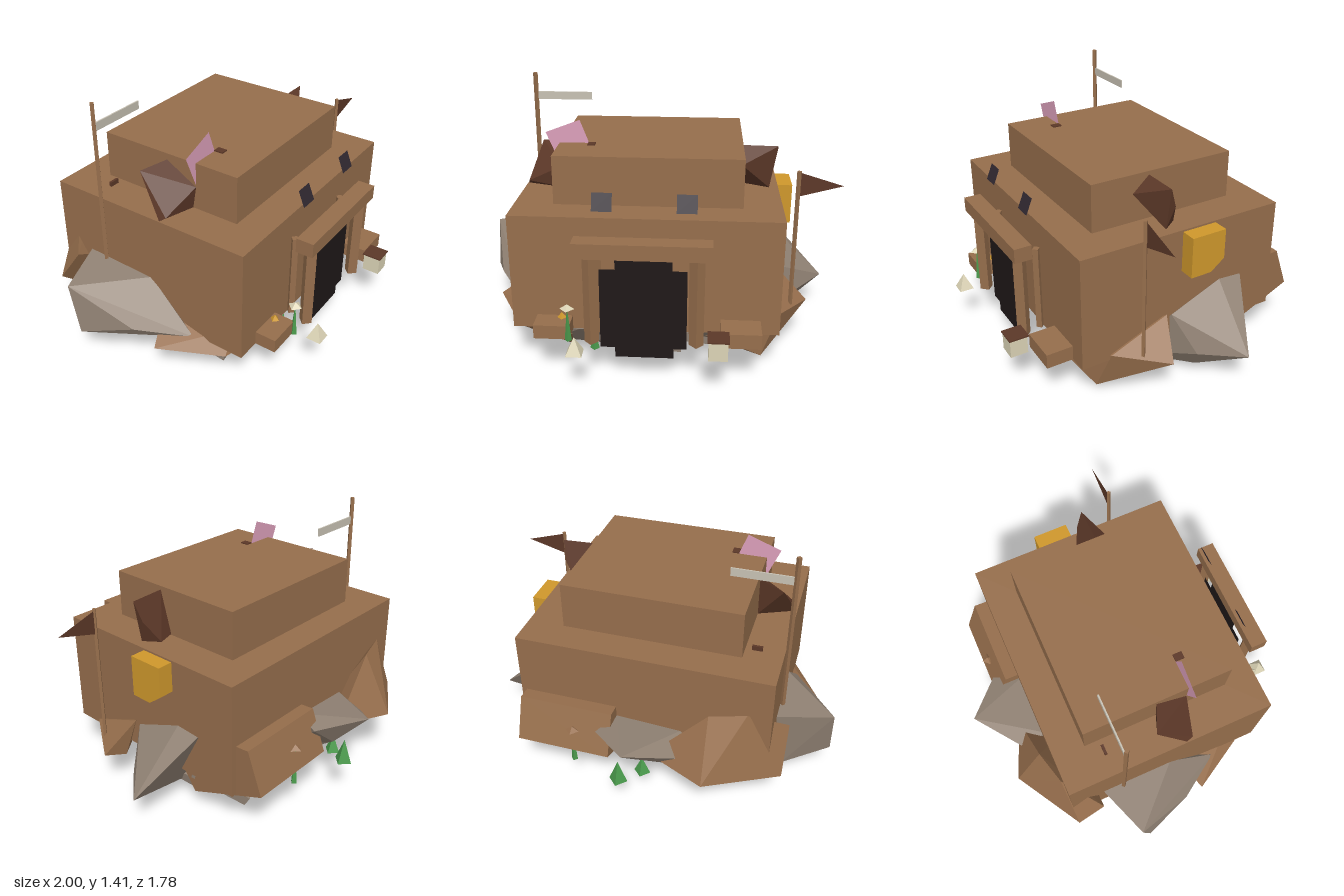
import * as THREE from 'three';
import { ConvexGeometry } from 'three/addons/geometries/ConvexGeometry.js';

export function createModel() {
  const root = new THREE.Group();
  root.name = 'rockyHut';
  const mat = (name, color, double = false) => {
    const m = new THREE.MeshStandardMaterial({ color, flatShading: true });
    m.name = name;
    if (double) m.side = THREE.DoubleSide;
    return m;
  };
  const brown = mat('earthBrown', 0x966e4c);
  const dark = mat('darkBrown', 0x5c3828, true);
  const grey = mat('stoneGrey', 0x928375);
  const black = mat('doorBlack', 0x1f1818, true);
  const glass = mat('windowDark', 0x302830, true);
  const gold = mat('gold', 0xcf982c);
  const pink = mat('pink', 0xdca0bb, true);
  const cream = mat('cream', 0xdcd4b6, true);
  const ash = mat('ashCloth', 0xc8c2b4, true);
  const green = mat('leafGreen', 0x4a9a4c);

  const add = (name, geo, m) => {
    const mesh = new THREE.Mesh(geo, m);
    mesh.name = name;
    root.add(mesh);
    return mesh;
  };
  // Box from its limits on each axis
  const box = (name, m, x0, x1, y0, y1, z0, z1) => {
    const b = add(name, new THREE.BoxGeometry(x1 - x0, y1 - y0, z1 - z0), m);
    b.position.set((x0 + x1) / 2, (y0 + y1) / 2, (z0 + z1) / 2);
    return b;
  };
  // Four-sided post standing cornerwise
  const post = (name, r, x, z, y0, y1) => {
    const p = add(name, new THREE.CylinderGeometry(r, r, y1 - y0, 4), brown);
    p.position.set(x, (y0 + y1) / 2, z);
  };
  // Angular rock around a few corners
  const hull = (name, m, pts) =>
    add(name, new ConvexGeometry(pts.map(p => new THREE.Vector3(...p))), m);
  // Flat plate in the xy plane
  const plate = (name, m, pts, z) => {
    const s = new THREE.Shape(pts.map(p => new THREE.Vector2(...p)));
    const p = add(name, new THREE.ShapeGeometry(s), m);
    p.position.z = z;
  };
  const cone = (name, m, r, h, x, y, z) => {
    const c = add(name, new THREE.ConeGeometry(r, h, 4), m);
    c.position.set(x, y + h / 2, z);
    return c;
  };

  // Two-tier body
  box('lowerBody', brown, -0.705, 0.68, 0.25, 0.875, -0.56, 0.62);
  box('upperBody', brown, -0.50, 0.478, 0.87, 1.135, -0.385, 0.445);

  // Doorway: stepped dark opening, posts and lintel
  plate('doorOpening', black, [
    [-0.16, 0.145], [0.14, 0.145], [0.14, 0.2], [0.205, 0.2], [0.205, 0.64], [0.13, 0.64],
    [0.13, 0.715], [-0.155, 0.715], [-0.155, 0.64], [-0.235, 0.64], [-0.235, 0.2], [-0.16, 0.2],
  ], 0.71);
  box('lintel', brown, -0.355, 0.325, 0.73, 0.81, 0.70, 0.795);
  for (const x of [-0.274, 0.254]) {
    post('doorPost', 0.037, x, 0.742, 0.25, 0.76);
    post('innerDoorPost', 0.022, x + Math.sign(x) * -0.02, 0.638, 0.25, 0.73);
  }
  box('doorStep', grey, -0.18, 0.17, 0.04, 0.145, 0.25, 0.48);

  // Leaning window panes
  for (const x of [-0.217, 0.197]) {
    const w = add('window', new THREE.PlaneGeometry(0.1, 0.092), glass);
    w.position.set(x, 0.977, 0.667);
    w.rotation.x = -0.39;
  }

  // Shoulder spikes beside the upper tier
  hull('leftSpike', dark, [
    [0.475, 1.115, 0.115], [0.67, 1.11, 0.11], [0.65, 1.0, 0.07], [0.57, 0.875, 0.025],
    [0.63, 0.875, 0.11], [0.475, 0.88, 0.05], [0.475, 1.03, 0.21]]);
  hull('rightSpike', dark, [
    [-0.64, 1.08, -0.04], [-0.50, 1.10, 0.02], [-0.50, 1.0, 0.2], [-0.69, 0.9, 0.155],
    [-0.70, 0.875, 0.12], [-0.5, 0.875, 0.03], [-0.5, 0.875, 0.18]]);
  plate('pinkPanel', pink, [[-0.575, 1.19], [-0.50, 1.01], [-0.34, 1.13], [-0.39, 1.26]], 0.2);

  // Small twigs on the roofs
  box('roofTwig', dark, -0.59, -0.535, 0.873, 0.9, -0.307, -0.293);
  box('roofTwig', dark, -0.345, -0.305, 1.133, 1.141, 0.2, 0.25);

  // Gold side panel
  hull('goldPanel', gold, [0.67, 0.765].flatMap(x => [
    [x, 0.865, 0.04], [x, 0.865, -0.16], [x, 0.70, -0.16], [x, 0.64, -0.08], [x, 0.64, 0.04]]));

  // Flag poles
  post('rightPole', 0.0135, -0.717, -0.25, 0.3, 1.42);
  box('rightBanner', ash, -0.705, -0.39, 1.265, 1.31, -0.255, -0.247);
  post('leftPole', 0.0115, 0.762, 0.317, 0.25, 1.04);
  plate('leftPennant', dark, [[0.77, 1.03], [0.77, 0.90], [0.995, 0.962]], 0.312);

  // Large slabs around the base
  hull('backRightSlab', brown, [
    [-0.39, 0.65, -0.62], [-0.58, 0.66, -0.57], [-0.78, 0.5, -0.4], [-0.78, 0.28, -0.56],
    [-0.40, 0.32, -0.79], [-0.08, 0.34, -0.66], [-0.6, 0.13, -0.5], [-0.2, 0.2, -0.4]]);
  hull('backLeftSlab', brown, [0.13, 0.65].flatMap(x => [
    [x, 0.53, -0.5], [x, 0.54, -0.635], [x, 0.31, -0.72], [x, 0.12, -0.27], [x, 0.22, -0.2]]));
  hull('backStone', grey, [
    [-0.01, 0.515, -0.89], [0.2, 0.46, -0.70], [0.13, 0.47, -0.54], [-0.24, 0.45, -0.54],
    [-0.25, 0.38, -0.69], [0.05, 0.33, -0.72], [0, 0.1, -0.35], [-0.3, 0.1, -0.45]]);
  hull('rightStone', grey, [
    [-1, 0.49, -0.26], [-0.7, 0.51, -0.37], [-0.7, 0.5, 0.05], [-1, 0.215, -0.2],
    [-0.9, 0.3, 0.08], [-0.73, 0.26, 0.34], [-0.5, 0.015, 0.2], [-0.45, 0.04, -0.25], [-0.75, 0.12, -0.3]]);
  hull('leftStone', grey, [
    [0.69, 0.52, -0.2], [0.69, 0.51, -0.34], [0.995, 0.215, -0.18], [0.82, 0.2, 0.02],
    [0.69, 0.40, 0.1], [0.75, 0.08, -0.02], [0.4, 0.04, 0.25], [0.32, 0.04, -0.1]]);
  hull('frontLeftSlab', brown, [
    [0.69, 0.41, 0.13], [0.865, 0.24, 0.2], [0.6, 0.05, 0.5], [0.4, 0.2, 0.61],
    [0.69, 0.28, 0.46], [0.3, 0.16, 0.5], [0.74, 0.2, 0.17]]);
  hull('frontRightSlab', brown, [
    [-0.69, 0.34, 0.12], [-0.88, 0.22, 0.2], [-0.70, 0.2, 0.52], [-0.42, 0.07, 0.48],
    [-0.4, 0.2, 0.6], [-0.6, 0.30, 0.5], [-0.5, 0.2, 0.15]]);
  hull('frontRightStone', grey, [
    [-0.5, 0.25, 0.6], [-0.36, 0.25, 0.63], [-0.17, 0.23, 0.58], [-0.2, 0.06, 0.45],
    [-0.49, 0.01, 0.25], [-0.5, 0.16, 0.57], [-0.2, 0.08, 0.2]]);
  hull('frontLeftStone', grey, [
    [0.2, 0.23, 0.56], [0.42, 0.24, 0.58], [0.3, 0.05, 0.4], [0.15, 0.1, 0.3], [0.45, 0.08, 0.3]]);

  // Tumbled stones under the floor
  let seed = 11;
  const rnd = () => (seed = (seed * 16807) % 2147483647) / 2147483647 - 0.5;
  for (let i = 0; i < 4; i++) {
    for (let j = 0; j < 4; j++) {
      const s = add('underStone', new THREE.BoxGeometry(0.32 + rnd() * 0.1, 0.06, 0.28 + rnd() * 0.1), grey);
      s.position.set(-0.45 + i * 0.29 + rnd() * 0.1, 0.17 + rnd() * 0.04, -0.36 + j * 0.22 + rnd() * 0.1);
      s.rotation.set(rnd() * 0.8, rnd() * 3, rnd() * 0.6);
    }
  }

  // Ledges and small props by the entrance
  box('rightLedge', brown, -0.575, -0.39, 0.25, 0.325, 0.6, 0.735);
  box('leftLedge', brown, 0.375, 0.58, 0.25, 0.33, 0.6, 0.765);
  box('crate', cream, 0.315, 0.41, 0.25, 0.35, 0.79, 0.885);
  box('crateLid', dark, 0.31, 0.417, 0.349, 0.356, 0.782, 0.89);
  cone('creamCone', cream, 0.057, 0.09, -0.345, 0.245, 0.85).rotation.y = Math.PI / 4;
  cone('goldBloom', gold, 0.025, 0.03, -0.44, 0.33, 0.65);

  // Plants: stems with caps, and pointed leaves
  for (const [x, y, z, h, m] of [[-0.395, 0.25, 0.74, 0.19, cream], [0.34, 0.21, -0.685, 0.22, brown]]) {
    cone('stem', green, 0.018, h, x, y, z);
    cone('cap', m, 0.038, 0.025, x, y + h - 0.01, z);
  }
  for (const [x, y, z, h, r] of [
    [0.046, 0.24, -0.79, 0.13, 0.05], [-0.044, 0.2, -0.66, 0.1, 0.045],
    [-0.28, 0.13, 0.61, 0.11, 0.025], [0.25, 0.15, 0.6, 0.09, 0.015]]) {
    cone('leaf', green, r, h, x, y, z);
  }
  return root;
}
